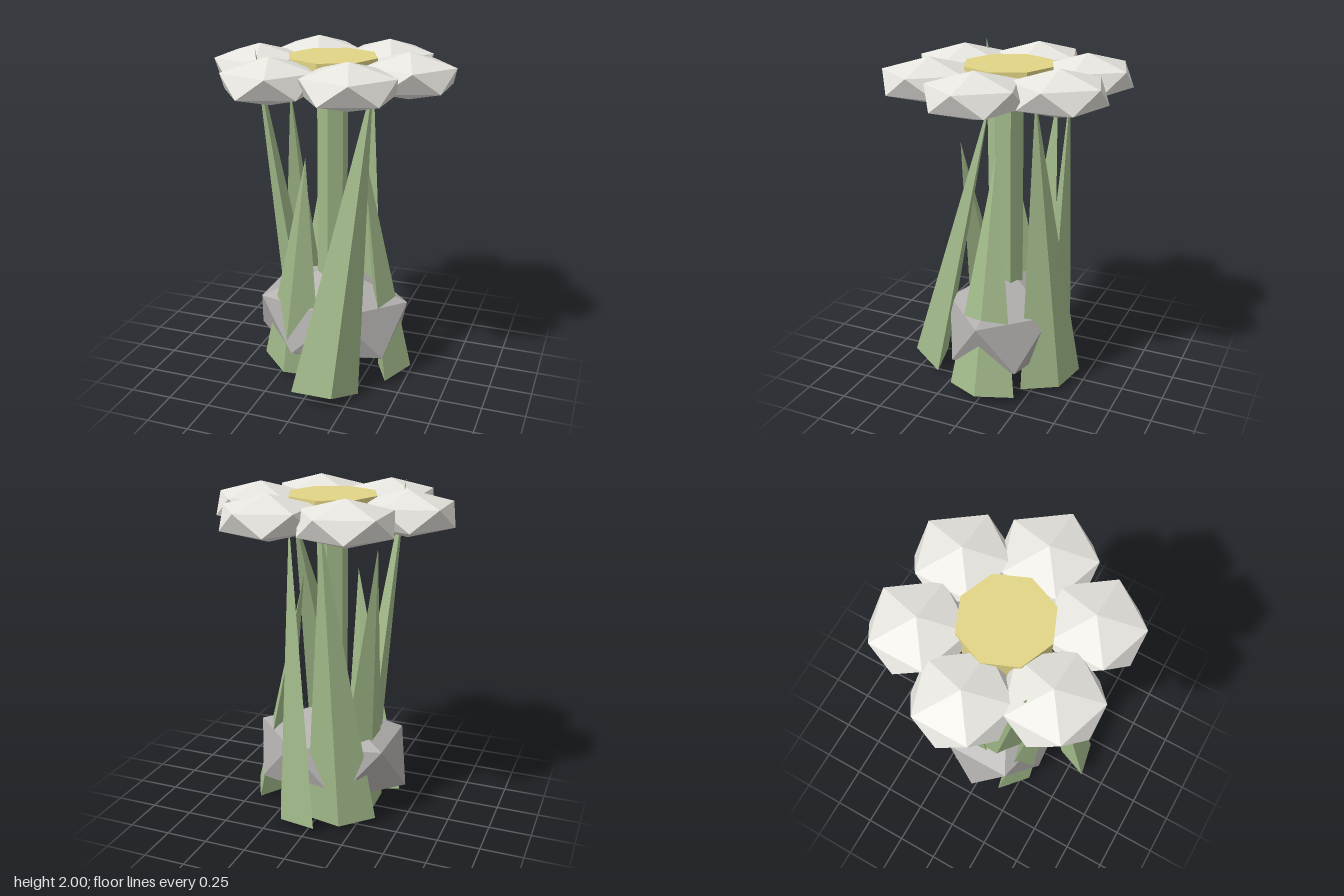
import * as THREE from 'three';

const flat = (name, color) => {
  const m = new THREE.MeshStandardMaterial({ color, flatShading: true });
  m.name = name;
  return m;
};

export function createModel() {
  const model = new THREE.Group();
  const petalMat = flat('petal white', 0xe8e6e0);
  const centerMat = flat('flower yellow', 0xe2d586);
  const leafMat = flat('leaf green', 0xa2ba8a);
  const stoneMat = flat('stone grey', 0xb0aeac);

  const add = (name, geometry, material, x, y, z) => {
    const mesh = new THREE.Mesh(geometry, material);
    mesh.name = name;
    mesh.position.set(x, y, z);
    model.add(mesh);
    return mesh;
  };

  // Icosahedron standing on a corner, stretched per axis
  const lump = (rx, ry, rz) => {
    const g = new THREE.IcosahedronGeometry(1, 0);
    g.rotateZ(-Math.atan(2 / (1 + Math.sqrt(5))));
    g.scale(rx, ry, rz);
    g.computeVertexNormals();
    return g;
  };

  // Stem and flower centre
  add('stem', new THREE.CylinderGeometry(0.09, 0.09, 1.78, 6), leafMat, 0, 0.89, 0);
  add('flowerCenter', new THREE.CylinderGeometry(0.265, 0.265, 0.17, 8), centerMat, 0, 1.845, 0);

  // Ring of six petals
  const petal = lump(0.297, 0.131, 0.297);
  for (let i = 0; i < 6; i++) {
    const a = (i * Math.PI) / 3;
    add('petal' + (i + 1), petal, petalMat, 0.445 * Math.cos(a), 1.845, 0.445 * Math.sin(a));
  }

  // Stone around the foot
  add('stone', lump(0.531, 0.325, 0.39), stoneMat, 0, 0.33, 0);

  // Seven flattened four-sided leaves: base centre, tip
  const leaves = [
    [[0.405, 0.035, 0], [0.18, 1.45, 0]],
    [[0.125, 0.058, 0.484], [0.24, 1.8, 0.0]],
    [[-0.19, 0.035, 0.2], [-0.04, 1.42, 0.335]],
    [[-0.18, 0.04, -0.02], [-0.34, 2.0, 0.3]],
    [[-0.2, 0.03, -0.08], [-0.33, 1.68, -0.17]],
    [[-0.15, 0.025, -0.25], [-0.065, 1.82, -0.345]],
    [[0.11, 0.025, -0.325], [0.17, 1.8, -0.23]],
  ];
  const up = new THREE.Vector3(0, 1, 0);
  leaves.forEach(([b, t], i) => {
    const base = new THREE.Vector3(...b);
    const axis = new THREE.Vector3(...t).sub(base);
    const height = axis.length();
    const g = new THREE.ConeGeometry(0.208, height, 4);
    g.translate(0, height / 2, 0);
    g.scale(1, 1, 0.5);
    // Broad side faces outward
    g.rotateY(Math.PI / 2 - (i * 2 * Math.PI) / leaves.length);
    const leaf = add('leaf' + (i + 1), g, leafMat, ...b);
    leaf.quaternion.setFromUnitVectors(up, axis.normalize());
  });

  return model;
}
